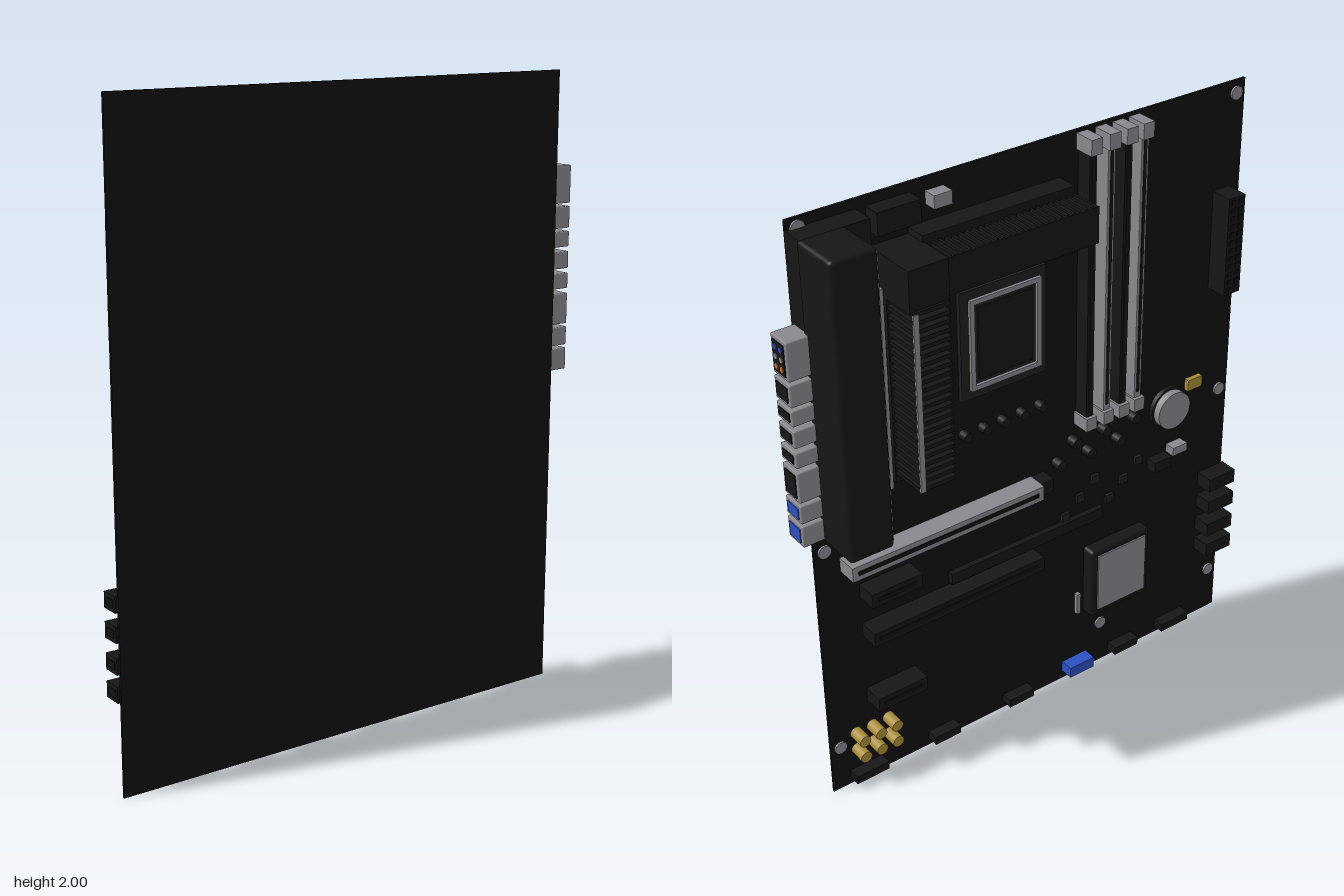
import * as THREE from 'three';
import { RoundedBoxGeometry } from 'three/addons/geometries/RoundedBoxGeometry.js';

export function createModel() {
  const root = new THREE.Group();
  const mat = (name, hex) => {
    const m = new THREE.MeshStandardMaterial({ color: hex });
    m.name = name;
    return m;
  };
  const board = mat('boardBlack', 0x111111);
  const black = mat('partBlack', 0x161617);
  const socketDark = mat('socketDark', 0x1f1f21);
  const grey = mat('metalGrey', 0x88878c);
  const gold = mat('gold', 0xa88c3a);
  const blue = mat('blue', 0x2c50c0);
  const orange = mat('orange', 0xc8743a);

  const add = (name, geo, m, parent = root) => {
    const mesh = new THREE.Mesh(geo, m);
    mesh.name = name;
    parent.add(mesh);
    return mesh;
  };
  // box given by its limits on each axis
  const box = (name, m, x0, x1, y0, y1, z0, z1, r = 0) => {
    const s = [x1 - x0, y1 - y0, z1 - z0];
    const geo = r ? new RoundedBoxGeometry(...s, 2, r) : new THREE.BoxGeometry(...s);
    const mesh = add(name, geo, m);
    mesh.position.set((x0 + x1) / 2, (y0 + y1) / 2, (z0 + z1) / 2);
    return mesh;
  };
  // cylinder standing out of the board toward -x
  const post = (name, m, radius, x0, x1, y, z, sides = 24) => {
    const mesh = add(name, new THREE.CylinderGeometry(radius, radius, x1 - x0, sides), m);
    mesh.rotation.z = Math.PI / 2;
    mesh.position.set((x0 + x1) / 2, y, z);
    return mesh;
  };
  const FACE = 0.105; // component side of the board

  box('circuitBoard', board, FACE, 0.113, 0, 2, -0.765, 0.835);

  // mounting screws
  for (const [y, z] of [[1.96, 0.8], [0.92, 0.8], [0.17, 0.8], [0.165, 0.31],
    [0.93, -0.73], [0.17, -0.73], [1.97, -0.73]]) {
    post('mountingScrew', grey, 0.022, 0.098, FACE, y, z, 16);
  }

  // rear port cover with its metal inner face
  box('portCover', black, -0.118, 0.045, 1.03, 1.97, -0.77, -0.624, 0.012);
  box('portCoverLining', grey, -0.105, 0.05, 1.045, 1.955, -0.625, -0.619);
  box('portCoverBase', black, 0.035, FACE, 1.03, 1.97, -0.765, -0.55);
  box('coverBracket', grey, 0.04, 0.1, 1.1, 1.75, -0.55, -0.52);

  // rear port row
  const ports = [[1.58, 1.7], [1.5, 1.57], [1.44, 1.49], [1.37, 1.425],
    [1.305, 1.355], [1.19, 1.29], [1.12, 1.18], [1.04, 1.11]];
  ports.forEach(([y0, y1], i) => {
    box('rearPort', grey, 0.02, 0.1, y0, y1, -0.838, -0.76, 0.004);
    box('rearPortOpening', i > 5 ? blue : black, 0.032, 0.088, y0 + 0.012, y1 - 0.012, -0.841, -0.837);
  });
  [blue, grey, orange].forEach((m, i) => {
    for (const x of [0.046, 0.074]) {
      const jack = add('audioJack', new THREE.CylinderGeometry(0.009, 0.009, 0.004, 12), m);
      jack.rotation.x = Math.PI / 2;
      jack.position.set(x, 1.67 - i * 0.03, -0.842);
    }
  });

  // side heatsink: horizontal fins on a base
  box('sideHeatsinkBase', black, 0.035, FACE, 1.12, 1.85, -0.515, -0.39);
  box('sideHeatsinkCap', black, -0.08, 0.04, 1.72, 1.85, -0.515, -0.385);
  for (let i = 0; i < 22; i++) {
    const y = 1.15 + i * 0.0268;
    box('sideHeatsinkFin', black, -0.088, 0.04, y, y + 0.013, -0.512, -0.39);
  }
  box('sideHeatsinkTrim', grey, -0.092, -0.086, 1.15, 1.72, -0.512, -0.494);

  // top heatsink: upright fins on a base
  box('topHeatsinkBase', black, 0.035, FACE, 1.7, 1.87, -0.39, 0.13);
  for (let i = 0; i < 24; i++) {
    const z = -0.385 + i * 0.0221;
    box('topHeatsinkFin', black, -0.066, 0.04, 1.73, 1.845, z, z + 0.009);
  }
  box('topHeatsinkRim', black, -0.071, -0.064, 1.73, 1.845, -0.385, 0.134);

  // processor socket with a metal frame
  box('socketPlate', socketDark, 0.09, FACE, 1.26, 1.62, -0.24, 0.07);
  for (const z of [-0.21, 0.03]) box('socketFrameSide', grey, 0.08, 0.092, 1.29, 1.59, z, z + 0.016);
  for (const y of [1.29, 1.574]) box('socketFrameEnd', grey, 0.08, 0.092, y, y + 0.016, -0.21, 0.046);
  box('socketCover', black, 0.084, 0.092, 1.32, 1.56, -0.18, 0.015);

  // memory slots with latches at both ends
  [0.21, 0.278, 0.341, 0.402].forEach((z, i) => {
    box('memorySlot', i % 2 ? grey : black, 0.052, FACE, 1.06, 1.95, z - 0.013, z + 0.013);
    box('memorySlotGroove', black, 0.049, 0.053, 1.08, 1.93, z - 0.005, z + 0.005);
    box('memoryLatchTop', grey, 0.036, FACE, 1.94, 1.99, z - 0.02, z + 0.02);
    box('memoryLatchBottom', grey, 0.04, FACE, 1.015, 1.06, z - 0.02, z + 0.02);
  });

  // power connectors
  box('mainPowerConnector', black, 0.03, FACE, 1.32, 1.655, 0.73, 0.795);
  for (let i = 0; i < 12; i++) {
    for (const z of [0.748, 0.777]) {
      const y = 1.336 + i * 0.0275;
      box('powerPinHole', board, 0.027, 0.031, y - 0.009, y + 0.009, z - 0.009, z + 0.009);
    }
  }
  box('processorPowerConnector', black, 0.05, FACE, 1.9, 1.97, -0.52, -0.38);
  box('fanHeader', grey, 0.062, FACE, 1.92, 1.96, -0.33, -0.27);

  // expansion slots: [colour, y, z start, z end]
  for (const [m, y, z0, z1] of [[grey, 0.86, -0.68, 0.02], [black, 0.735, -0.62, -0.44],
    [black, 0.587, -0.62, 0.02], [black, 0.33, -0.62, -0.44]]) {
    box('expansionSlot', m, 0.035, FACE, y - 0.025, y + 0.025, z0, z1);
    box('expansionSlotGroove', board, 0.032, 0.036, y - 0.007, y + 0.007, z0 + 0.02, z1 - 0.02);
  }
  box('expansionLatch', black, 0.05, FACE, 0.84, 0.885, 0.02, 0.07);

  // chipset heatsink
  box('chipsetHeatsink', black, 0.052, FACE, 0.255, 0.522, 0.23, 0.475, 0.012);
  box('chipsetPlate', grey, 0.047, 0.053, 0.28, 0.5, 0.255, 0.455);
  box('chipsetSideStrip', grey, 0.09, FACE, 0.26, 0.34, 0.2, 0.215);

  // drive connectors on the front edge
  for (const y of [0.315, 0.4, 0.495, 0.585]) {
    box('driveConnector', black, 0.042, FACE, y - 0.025, y + 0.025, 0.73, 0.842);
    box('driveConnectorOpening', board, 0.055, 0.095, y - 0.012, y + 0.012, 0.841, 0.844);
  }

  // battery
  post('batteryHolder', black, 0.074, 0.09, FACE, 0.935, 0.575, 32);
  post('battery', grey, 0.066, 0.065, 0.092, 0.935, 0.575, 32);

  // gold capacitors
  for (const z of [-0.67, -0.61, -0.55]) {
    for (const y of [0.135, 0.2]) post('audioCapacitor', gold, 0.02, 0.048, FACE, y, z);
  }

  // small headers and connectors
  box('goldHeader', gold, 0.088, FACE, 0.97, 1.01, 0.65, 0.71);
  box('blueHeader', blue, 0.058, FACE, 0.03, 0.07, 0.15, 0.25);
  box('smallGreyHeader', grey, 0.068, FACE, 0.755, 0.785, 0.58, 0.64);
  box('smallBlackHeader', black, 0.065, FACE, 0.72, 0.76, 0.5, 0.57);
  for (const [z0, z1] of [[-0.7, -0.58], [-0.4, -0.3], [-0.1, 0], [0.35, 0.45], [0.56, 0.68]]) {
    box('bottomHeader', black, 0.065, FACE, 0.025, 0.055, z0, z1);
  }
  box('cardSocket', black, 0.085, FACE, 0.62, 0.66, -0.3, 0.3);

  // rows of small capacitors
  for (let i = 0; i < 6; i++) {
    post('capacitor', black, 0.018, 0.07, FACE, 0.9 + (i % 2) * 0.06, 0.12 + i * 0.06, 16);
    post('capacitor', black, 0.016, 0.075, FACE, 1.14, -0.3 + i * 0.07, 16);
    box('chip', socketDark, 0.095, FACE, 0.66 + (i % 3) * 0.05, 0.69 + (i % 3) * 0.05, 0.14 + i * 0.06, 0.17 + i * 0.06);
  }

  return root;
}
